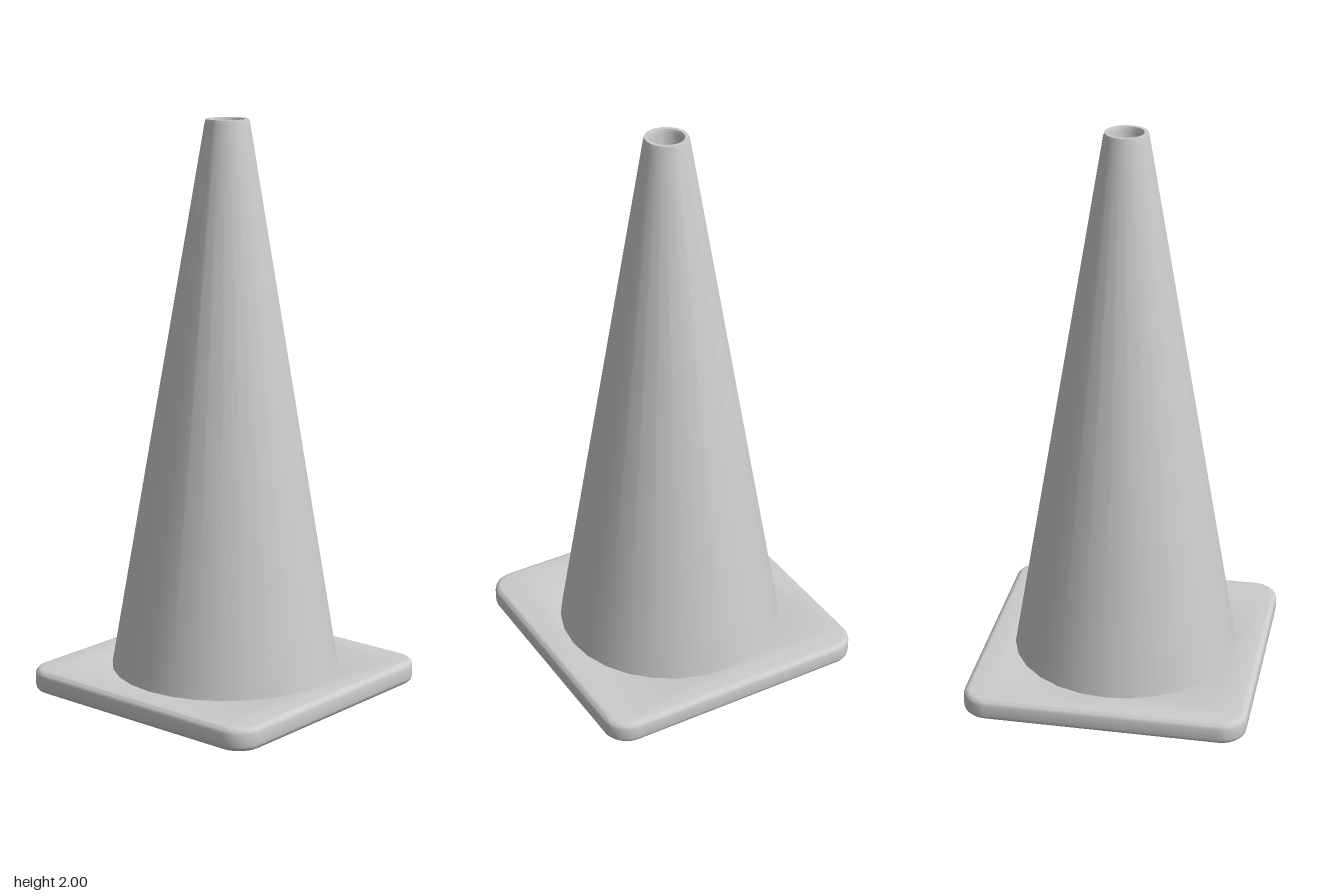
import * as THREE from 'three';
import { toCreasedNormals } from 'three/addons/utils/BufferGeometryUtils.js';

const SIDES = 28;
const BASE_HEIGHT = 0.08;
const BEVEL = 0.02;

// Rounded square outline with a round opening under the cone
function baseShape(half, r, holeRadius) {
  const shape = new THREE.Shape();
  shape.absarc(half - r, half - r, r, 0, Math.PI / 2);
  shape.absarc(r - half, half - r, r, Math.PI / 2, Math.PI);
  shape.absarc(r - half, r - half, r, Math.PI, Math.PI * 1.5);
  shape.absarc(half - r, r - half, r, Math.PI * 1.5, Math.PI * 2);
  const ring = [];
  for (let i = 0; i < SIDES; i++) {
    const a = (-i / SIDES) * Math.PI * 2;
    ring.push(new THREE.Vector2(Math.cos(a) * holeRadius, Math.sin(a) * holeRadius));
  }
  shape.holes.push(new THREE.Path(ring));
  return shape;
}

export function createModel() {
  const group = new THREE.Group();
  group.name = 'trafficCone';
  const material = new THREE.MeshStandardMaterial({ color: 0xcccccc });

  // Square foot with softened edges
  const plate = new THREE.ExtrudeGeometry(baseShape(0.5 - BEVEL, 0.07, 0.397), {
    depth: BASE_HEIGHT - 2 * BEVEL,
    bevelThickness: BEVEL,
    bevelSize: BEVEL,
    bevelSegments: 3,
    curveSegments: 5,
  });
  plate.rotateX(-Math.PI / 2).translate(0, BEVEL, 0);
  const base = new THREE.Mesh(toCreasedNormals(plate, 0.7), material);
  base.name = 'base';
  group.add(base);

  // Hollow cone: outer wall up, over the rim, inner wall down to the ground
  const profile = [
    [0.4, BASE_HEIGHT], [0.077, 1.985], [0.073, 2], [0.06, 2], [0.055, 1.985],
    [0.375, BASE_HEIGHT], [0.375, 0], [0.397, 0],
  ].map(([r, y]) => new THREE.Vector2(r, y));
  const wall = new THREE.LatheGeometry(profile, SIDES);

  // The tip leans very slightly forward
  const pos = wall.attributes.position;
  for (let i = 0; i < pos.count; i++) {
    const lean = Math.max(0, pos.getY(i) - BASE_HEIGHT) / (2 - BASE_HEIGHT);
    pos.setZ(i, pos.getZ(i) + 0.01 * lean);
  }
  const cone = new THREE.Mesh(toCreasedNormals(wall, 0.7), material);
  cone.name = 'cone';
  group.add(cone);

  return group;
}
